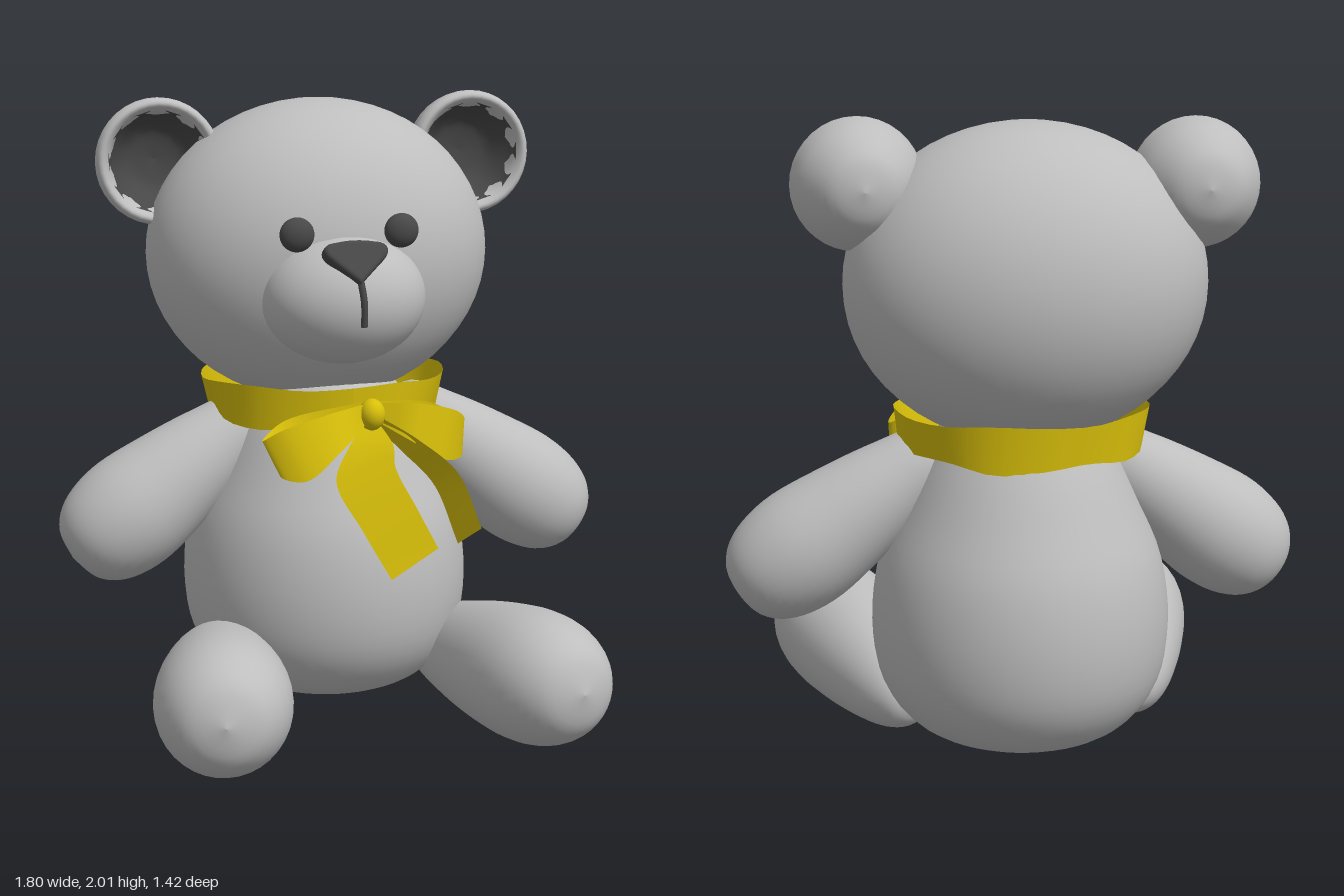
import * as THREE from 'three';

const material = (name, color, side = THREE.FrontSide) => {
  const m = new THREE.MeshStandardMaterial({ color, side });
  m.name = name;
  return m;
};
const V = (p) => new THREE.Vector3(...p);

export function createModel() {
  const group = new THREE.Group();
  const grey = material('grey plush', 0xbebebe);
  const dark = material('dark grey', 0x484848);
  const yellow = material('yellow ribbon', 0xd9c00a, THREE.DoubleSide);

  const add = (name, geometry, mat, position = [0, 0, 0], parent = group) => {
    const mesh = new THREE.Mesh(geometry, mat);
    mesh.name = name;
    mesh.position.set(...position);
    parent.add(mesh);
    return mesh;
  };
  const ball = (name, mat, position, radii) => {
    const g = new THREE.SphereGeometry(1, 40, 28).scale(...radii);
    return add(name, g, mat, position);
  };
  // Smooth lathe through a few [radius, height] points
  const turned = (points, segments = 36) => {
    const curve = new THREE.SplineCurve(points.map((p) => new THREE.Vector2(...p)));
    const pts = curve.getPoints(36);
    pts.forEach((p) => { p.x = Math.max(p.x, 0); });
    return new THREE.LatheGeometry(pts, segments);
  };
  // Limb turned about the line from a to b; profile is [radius, fraction of length]
  const limb = (name, a, b, profile) => {
    const from = V(a), axis = V(b).sub(from), length = axis.length();
    const mesh = add(name, turned(profile.map(([r, t]) => [r, t * length])), grey, a);
    mesh.quaternion.setFromUnitVectors(new THREE.Vector3(0, 1, 0), axis.normalize());
  };
  // Cloth strip spanned between two smooth edges
  const strip = (name, edgeA, edgeB, closed = false, parent = group) => {
    const steps = 40, positions = [], index = [];
    const a = new THREE.CatmullRomCurve3(edgeA.map(V), closed);
    const b = new THREE.CatmullRomCurve3(edgeB.map(V), closed);
    for (let i = 0; i <= steps; i++) {
      positions.push(...a.getPoint(i / steps).toArray(), ...b.getPoint(i / steps).toArray());
      if (i < steps) {
        const k = i * 2;
        index.push(k, k + 1, k + 2, k + 1, k + 3, k + 2);
      }
    }
    const g = new THREE.BufferGeometry();
    g.setAttribute('position', new THREE.Float32BufferAttribute(positions, 3));
    g.setIndex(index);
    g.computeVertexNormals();
    return add(name, g, yellow, [0, 0, 0], parent);
  };

  // Pear-shaped body and head
  const body = turned([[0, 0.04], [0.2, 0.05], [0.36, 0.11], [0.46, 0.24], [0.49, 0.42],
    [0.465, 0.62], [0.39, 0.8], [0.3, 0.98], [0.2, 1.1], [0, 1.16]], 48);
  add('body', body.scale(0.95, 1, 1), grey, [-0.015, 0, -0.22]);
  ball('head', grey, [-0.028, 1.49, -0.245], [0.56, 0.49, 0.445]);
  ball('muzzle', grey, [-0.05, 1.385, 0.12], [0.26, 0.205, 0.225]);

  // Arms and legs
  const armProfile = [[0, 0], [0.09, 0.06], [0.135, 0.25], [0.17, 0.48],
    [0.19, 0.7], [0.165, 0.87], [0.1, 0.97], [0, 1]];
  limb('leftArm', [0.2, 1.0, -0.21], [0.86, 0.525, -0.15], armProfile);
  limb('rightArm', [-0.22, 0.99, -0.21], [-0.86, 0.525, -0.2], armProfile);
  const legProfile = [[0, 0], [0.07, 0.03], [0.13, 0.16], [0.185, 0.42],
    [0.213, 0.68], [0.192, 0.85], [0.12, 0.96], [0, 1]];
  limb('leftLeg', [0.34, 0.15, -0.26], [0.54, 0.225, 0.71], legProfile);
  limb('rightLeg', [-0.37, 0.15, -0.28], [-0.57, 0.225, 0.675], legProfile);

  // Cupped ears with dark hollows
  for (const [side, x, y, z, yaw] of [['left', 0.48, 1.795, -0.185, -0.02], ['right', -0.545, 1.785, -0.24, -0.05]]) {
    const ear = new THREE.Group();
    ear.name = side + 'Ear';
    ear.position.set(x, y, z);
    ear.rotation.y = yaw;
    group.add(ear);
    const shell = turned([[0, -0.255], [0.1, -0.225], [0.175, -0.13], [0.2, -0.04],
      [0.195, -0.005], [0.178, 0.003], [0.158, -0.02], [0.145, -0.06]]);
    add('earShell', shell.rotateX(Math.PI / 2), grey, [0, 0, 0], ear);
    const hollow = turned([[0.168, -0.012], [0.145, -0.06], [0.09, -0.12], [0, -0.14]], 10);
    add('earHollow', hollow.rotateX(Math.PI / 2), dark, [0, 0, 0], ear);
  }

  // Eyes
  ball('leftEye', dark, [0.112, 1.597, 0.205], [0.054, 0.053, 0.036]);
  ball('rightEye', dark, [-0.217, 1.593, 0.193], [0.054, 0.053, 0.036]);

  // Triangular nose and mouth seam
  const tri = new THREE.Shape();
  tri.moveTo(0, -0.055);
  tri.lineTo(0.08, 0.02);
  tri.quadraticCurveTo(0.1, 0.045, 0.06, 0.048);
  tri.quadraticCurveTo(0, 0.06, -0.06, 0.048);
  tri.quadraticCurveTo(-0.1, 0.045, -0.08, 0.02);
  const noseGeometry = new THREE.ExtrudeGeometry(tri, {
    depth: 0.025, bevelEnabled: true, bevelSize: 0.014, bevelThickness: 0.014, bevelSegments: 4, curveSegments: 8,
  });
  add('nose', noseGeometry, dark, [-0.06, 1.508, 0.285]).rotation.x = -0.5;
  const seam = new THREE.CatmullRomCurve3([[-0.058, 1.47, 0.33], [-0.05, 1.4, 0.344], [-0.048, 1.325, 0.337]].map(V));
  add('mouthSeam', new THREE.TubeGeometry(seam, 12, 0.011, 8), dark);

  // Collar: a wavy ribbon round the neck
  const top = [], bottom = [];
  for (let i = 0; i < 16; i++) {
    const a = (i / 16) * Math.PI * 2, s = Math.sin(a), c = Math.cos(a);
    const wave = 0.012 * Math.sin(a * 5);
    top.push([-0.025 + 0.4 * s, 1.1 + wave * 0.5, -0.195 + 0.345 * c]);
    bottom.push([-0.025 + (0.375 + wave) * s, 0.985 - wave - 0.02 * Math.abs(c), -0.195 + 0.335 * c]);
  }
  const bow = new THREE.Group();
  bow.name = 'ribbon';
  group.add(bow);
  strip('collar', top, bottom, true, bow);

  // Bow loops
  strip('rightLoop',
    [[0, 1.06, 0.2], [-0.13, 1.045, 0.25], [-0.28, 1.0, 0.24], [-0.33, 0.96, 0.19], [-0.25, 1.01, 0.15], [0, 1.06, 0.17]],
    [[0, 1.0, 0.21], [-0.11, 0.93, 0.29], [-0.22, 0.85, 0.3], [-0.29, 0.86, 0.25], [-0.2, 0.91, 0.18], [0, 1.0, 0.17]], false, bow);
  strip('leftLoop',
    [[0.04, 1.06, 0.2], [0.16, 1.06, 0.24], [0.3, 1.02, 0.2], [0.345, 0.98, 0.14], [0.25, 1.03, 0.1], [0.04, 1.06, 0.17]],
    [[0.04, 1.0, 0.21], [0.14, 0.94, 0.26], [0.26, 0.87, 0.23], [0.34, 0.87, 0.14], [0.24, 0.93, 0.1], [0.04, 1.0, 0.17]], false, bow);

  // Hanging tails
  strip('frontTail',
    [[0, 1.0, 0.19], [-0.06, 0.93, 0.22], [-0.11, 0.83, 0.25], [-0.03, 0.67, 0.27], [0.06, 0.51, 0.285]],
    [[0.04, 1.0, 0.2], [0.08, 0.93, 0.23], [0.085, 0.86, 0.24], [0.15, 0.73, 0.255], [0.22, 0.595, 0.265]], false, bow);
  strip('sideTail',
    [[0.04, 1.02, 0.22], [0.15, 0.95, 0.275], [0.26, 0.85, 0.33], [0.31, 0.69, 0.41]],
    [[0.03, 0.99, 0.19], [0.12, 0.9, 0.2], [0.22, 0.79, 0.22], [0.28, 0.61, 0.28]], false, bow);

  // Knot
  const knot = new THREE.SphereGeometry(1, 16, 12).scale(0.042, 0.05, 0.045);
  add('knot', knot, yellow, [0.02, 1.025, 0.2], bow);

  return group;
}
